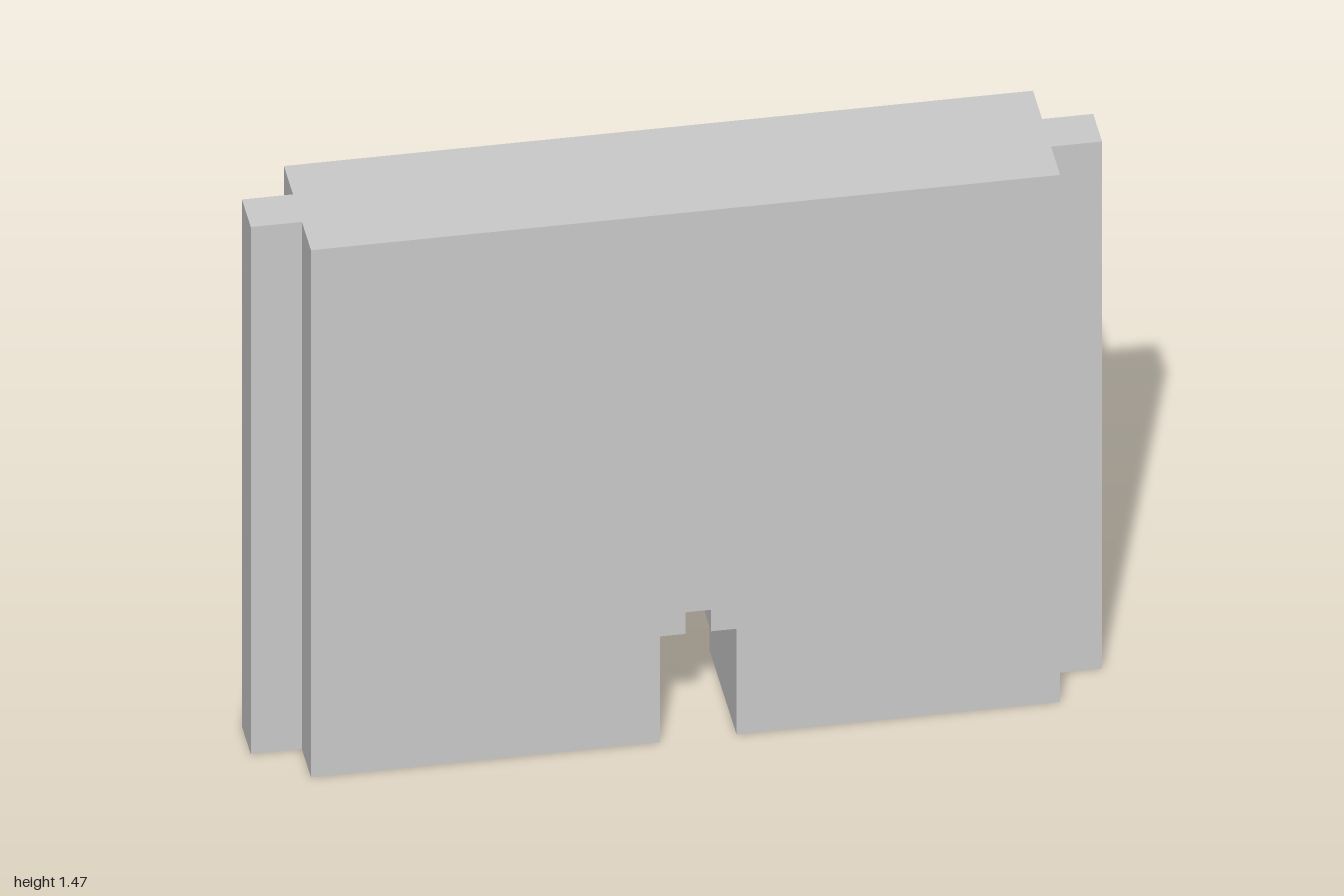
import * as THREE from 'three';

const HEIGHT = 1.47;
const BODY_X = 0.88, BODY_DEPTH = 0.354;
const TONGUE_DEPTH = 0.116, TONGUE_WIDTH = 1 - BODY_X;

export function createModel() {
  const group = new THREE.Group();
  group.name = 'wallPanel';
  const material = new THREE.MeshStandardMaterial({ color: 0xcccccc, flatShading: true });

  // Thick slab with a stepped opening cut through its bottom edge
  const outline = new THREE.Shape([
    [-BODY_X, 0], [-0.06, 0], [-0.06, 0.295], [0, 0.295], [0, 0.355],
    [0.06, 0.355], [0.06, 0.295], [0.12, 0.295], [0.12, 0],
    [BODY_X, 0], [BODY_X, HEIGHT], [-BODY_X, HEIGHT],
  ].map(([x, y]) => new THREE.Vector2(x, y)));
  const slabGeometry = new THREE.ExtrudeGeometry(outline, { depth: BODY_DEPTH, bevelEnabled: false });
  slabGeometry.translate(0, 0, -BODY_DEPTH / 2);
  const slab = new THREE.Mesh(slabGeometry, material);
  slab.name = 'slab';
  group.add(slab);

  // Full-height connecting tongue on each end
  for (const [name, side] of [['leftTongue', 1], ['rightTongue', -1]]) {
    const tongue = new THREE.Mesh(new THREE.BoxGeometry(TONGUE_WIDTH, HEIGHT, TONGUE_DEPTH), material);
    tongue.position.set(side * (BODY_X + TONGUE_WIDTH / 2), HEIGHT / 2, 0);
    tongue.name = name;
    group.add(tongue);
  }
  return group;
}
